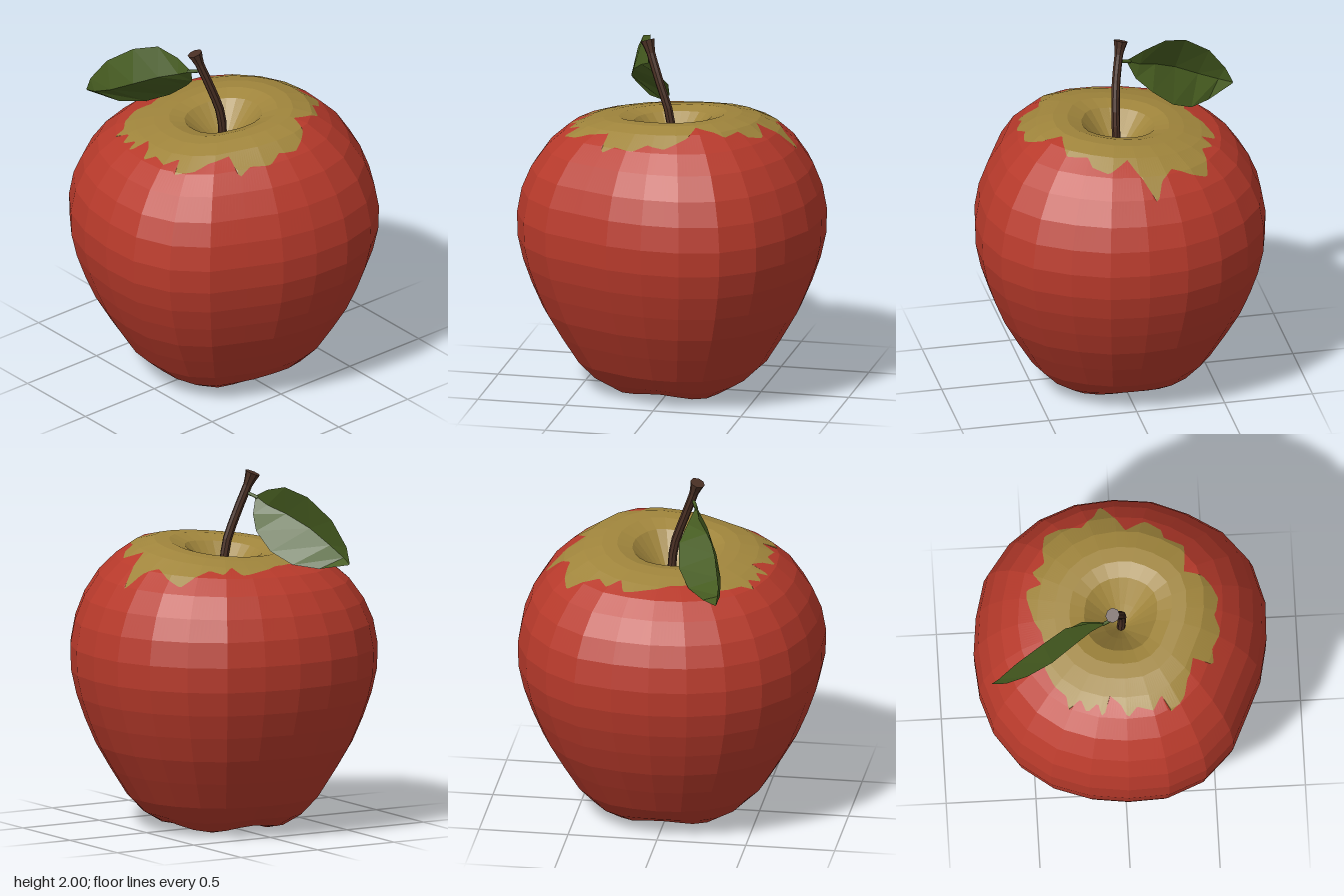
import * as THREE from 'three';

const TAU = Math.PI * 2;
const material = (name, color, side = THREE.FrontSide) => {
  const m = new THREE.MeshStandardMaterial({ color, side });
  m.name = name;
  return m;
};

// Body radius every 15 degrees, from +x towards +z
const RADII = [
  0.81, 0.795, 0.79, 0.84, 0.87, 0.87, 0.85, 0.85, 0.86, 0.86, 0.85, 0.83,
  0.82, 0.825, 0.855, 0.86, 0.86, 0.855, 0.845, 0.85, 0.85, 0.87, 0.875, 0.845,
];
const SEG = RADII.length;

// Body rows from the bottom hollow to the stem hollow: radius factor, y, lobe, tilt
const ROWS = [
  [0, 0.135, 0, 0], [0.10, 0.12, 0, 0], [0.17, 0.07, 0.5, 0], [0.24, 0.025, 0.9, 0],
  [0.31, 0, 1, 0], [0.40, 0.015, 0.7, 0], [0.52, 0.078, 0.4, 0], [0.63, 0.18, 0, 0],
  [0.74, 0.33, 0, 0], [0.835, 0.47, 0, 0], [0.905, 0.61, 0, 0], [0.96, 0.745, 0, 0],
  [0.995, 0.88, 0, 0], [1, 1.02, 0, 0], [0.97, 1.16, 0, 0], [0.91, 1.285, 0, 0.1],
  [0.815, 1.405, 0, 0.2], [0.70, 1.495, 0, 0.35], [0.57, 1.552, 0, 0.8], [0.45, 1.577, 0, 1],
  [0.35, 1.58, 0, 1], [0.25, 1.555, 0, 1], [0.12, 1.44, 0, 0.5], [0, 1.33, 0, 0],
];

function corner(seg, row) {
  const a = (seg / SEG) * TAU, [f, h, lobe, tilt] = ROWS[row];
  const r = f * RADII[seg % SEG], x = r * Math.cos(a), z = r * Math.sin(a);
  const y = h + lobe * 0.02 * (1 + Math.cos(4 * a)) + tilt * (0.1 * x - 0.06 * z);
  return new THREE.Vector3(x, y, z);
}

// Point on the faceted body; u counts segments, v counts rows
function bodyPoint(u, v) {
  const s = Math.min(Math.floor(u), SEG - 1), r = Math.min(Math.floor(v), ROWS.length - 2);
  const low = corner(s, r).lerp(corner(s + 1, r), u - s);
  const high = corner(s, r + 1).lerp(corner(s + 1, r + 1), u - s);
  return low.lerp(high, v - r);
}

function flatGeometry(points) {
  const g = new THREE.BufferGeometry().setFromPoints(points);
  g.computeVertexNormals();
  return g;
}

// Band of the body between two borders given as rows by angle
function skin(lo, hi, cols = 240) {
  const points = [];
  for (let i = 0; i < cols; i++) {
    const u = [i, i + 1].map((k) => (k / cols) * SEG);
    const l = u.map((k) => lo((k / SEG) * TAU)), h = u.map((k) => hi((k / SEG) * TAU));
    for (let r = 0; r < ROWS.length - 1; r++) {
      const v = (side, row) => THREE.MathUtils.clamp(row, l[side], h[side]);
      if (v(0, r) === v(0, r + 1) && v(1, r) === v(1, r + 1)) continue;
      const a = bodyPoint(u[0], v(0, r)), b = bodyPoint(u[1], v(1, r));
      const c = bodyPoint(u[0], v(0, r + 1)), d = bodyPoint(u[1], v(1, r + 1));
      for (const t of [[a, c, b], [b, c, d]]) {
        const area = t[1].clone().sub(t[0]).cross(t[2].clone().sub(t[0])).length();
        if (area > 1e-9) points.push(...t);
      }
    }
  }
  return flatGeometry(points);
}

// Ragged edge of the golden crown as x, z pairs
const CROWN = [
  [0.55, -0.07], [0.47, -0.19], [0.36, -0.21], [0.37, -0.38], [0.26, -0.43], [0.25, -0.49],
  [0.17, -0.55], [0.05, -0.49], [-0.02, -0.61], [-0.08, -0.705], [-0.12, -0.61], [-0.19, -0.54],
  [-0.29, -0.55], [-0.40, -0.53], [-0.41, -0.34], [-0.48, -0.29], [-0.43, -0.21], [-0.52, -0.19],
  [-0.50, -0.05], [-0.45, 0.07], [-0.42, 0.17], [-0.44, 0.28], [-0.40, 0.37], [-0.33, 0.45],
  [-0.32, 0.52], [-0.25, 0.47], [-0.22, 0.55], [-0.155, 0.50], [-0.13, 0.59], [-0.09, 0.47],
  [-0.03, 0.52], [0.01, 0.59], [0.06, 0.54], [0.15, 0.56], [0.20, 0.485], [0.25, 0.57],
  [0.33, 0.49], [0.35, 0.40], [0.39, 0.28], [0.50, 0.30], [0.50, 0.22], [0.55, 0.11], [0.52, 0.03],
].map(([x, z]) => ({ a: (Math.atan2(z, x) + TAU) % TAU, r: Math.hypot(x, z) }))
  .sort((p, q) => p.a - q.a);

function crownRow(angle) {
  const a = angle % TAU, n = CROWN.length;
  let i = CROWN.findIndex((p) => p.a > a);
  if (i < 0) i = n;
  const p = CROWN[(i + n - 1) % n], q = CROWN[i % n];
  const r = THREE.MathUtils.lerp(p.r, q.r, ((a - p.a + TAU) % TAU) / ((q.a - p.a + TAU) % TAU));
  const u = (a / TAU) * SEG, s = Math.floor(u);
  const f = r / THREE.MathUtils.lerp(RADII[s % SEG], RADII[(s + 1) % SEG], u - s);
  let row = 13;
  while (ROWS[row + 1][0] > f) row++;
  return row + (ROWS[row][0] - f) / (ROWS[row][0] - ROWS[row + 1][0]);
}

// Leaf cross-sections: upper edge, midrib, lower edge
const LEAF = [
  [[-0.09, 1.855, 0.16], [-0.09, 1.85, 0.16], [-0.09, 1.845, 0.155]],
  [[-0.19, 1.90, 0.17], [-0.17, 1.81, 0.185], [-0.13, 1.76, 0.115]],
  [[-0.32, 1.93, 0.205], [-0.27, 1.77, 0.245], [-0.22, 1.68, 0.08]],
  [[-0.45, 1.885, 0.275], [-0.40, 1.70, 0.32], [-0.34, 1.58, 0.10]],
  [[-0.60, 1.77, 0.34], [-0.54, 1.62, 0.365], [-0.46, 1.515, 0.17]],
  [[-0.70, 1.63, 0.375], [-0.66, 1.565, 0.38], [-0.58, 1.50, 0.27]],
  [[-0.74, 1.545, 0.37], [-0.74, 1.54, 0.37], [-0.735, 1.535, 0.365]],
];

function leafGeometry() {
  const p = LEAF.map((s) => s.map((c) => new THREE.Vector3(...c)));
  const points = [];
  for (let i = 0; i < p.length - 1; i++) {
    for (let j = 0; j < 2; j++) {
      const a = p[i][j], b = p[i + 1][j], c = p[i][j + 1], d = p[i + 1][j + 1];
      points.push(a, b, c, c, b, d);
    }
  }
  return flatGeometry(points);
}

// Bent stem with a flared, cut tip
function stemGeometry() {
  const path = new THREE.CatmullRomCurve3([
    [0, 1.33, 0], [0.005, 1.57, 0.02], [-0.01, 1.75, 0.08], [-0.035, 1.89, 0.13], [-0.055, 1.98, 0.16],
  ].map((c) => new THREE.Vector3(...c)));
  const g = new THREE.CylinderGeometry(1, 1, 1, 8, 10);
  const pos = g.attributes.position;
  for (let i = 0; i < pos.count; i++) {
    const t = pos.getY(i) + 0.5, c = path.getPoint(t);
    const r = 0.024 + 0.016 * THREE.MathUtils.smoothstep(t, 0.82, 1);
    const x = pos.getX(i) * r, z = pos.getZ(i) * r;
    pos.setXYZ(i, c.x + x, c.y + 0.25 * x - 0.3 * z, c.z + z);
  }
  const flat = g.toNonIndexed();
  flat.computeVertexNormals();
  return flat;
}

export function createModel() {
  const red = material('red skin', 0xb83a2b);
  const gold = material('golden skin', 0xa0853c);
  const dark = material('dark calyx', 0x2e1f0c);
  const brown = material('brown stem', 0x4a3024);
  const green = material('leaf green', 0x465c20, THREE.DoubleSide);

  const group = new THREE.Group();
  group.name = 'apple';
  const add = (name, geometry, mat) => {
    const mesh = new THREE.Mesh(geometry, mat);
    mesh.name = name;
    group.add(mesh);
  };

  const calyxRow = (a) => 1.75 + 0.25 * Math.cos(5 * a) + 0.08 * Math.sin(13 * a);
  add('calyx', skin(() => 0, calyxRow), dark);
  add('body', skin(calyxRow, crownRow), red);
  add('crown', skin(crownRow, () => ROWS.length - 1), gold);

  add('stem', stemGeometry(), brown);
  add('leaf', leafGeometry(), green);
  const stalk = new THREE.LineCurve3(new THREE.Vector3(-0.03, 1.87, 0.13), new THREE.Vector3(-0.11, 1.845, 0.162));
  add('leafStalk', new THREE.TubeGeometry(stalk, 1, 0.01, 6), green);
  return group;
}
